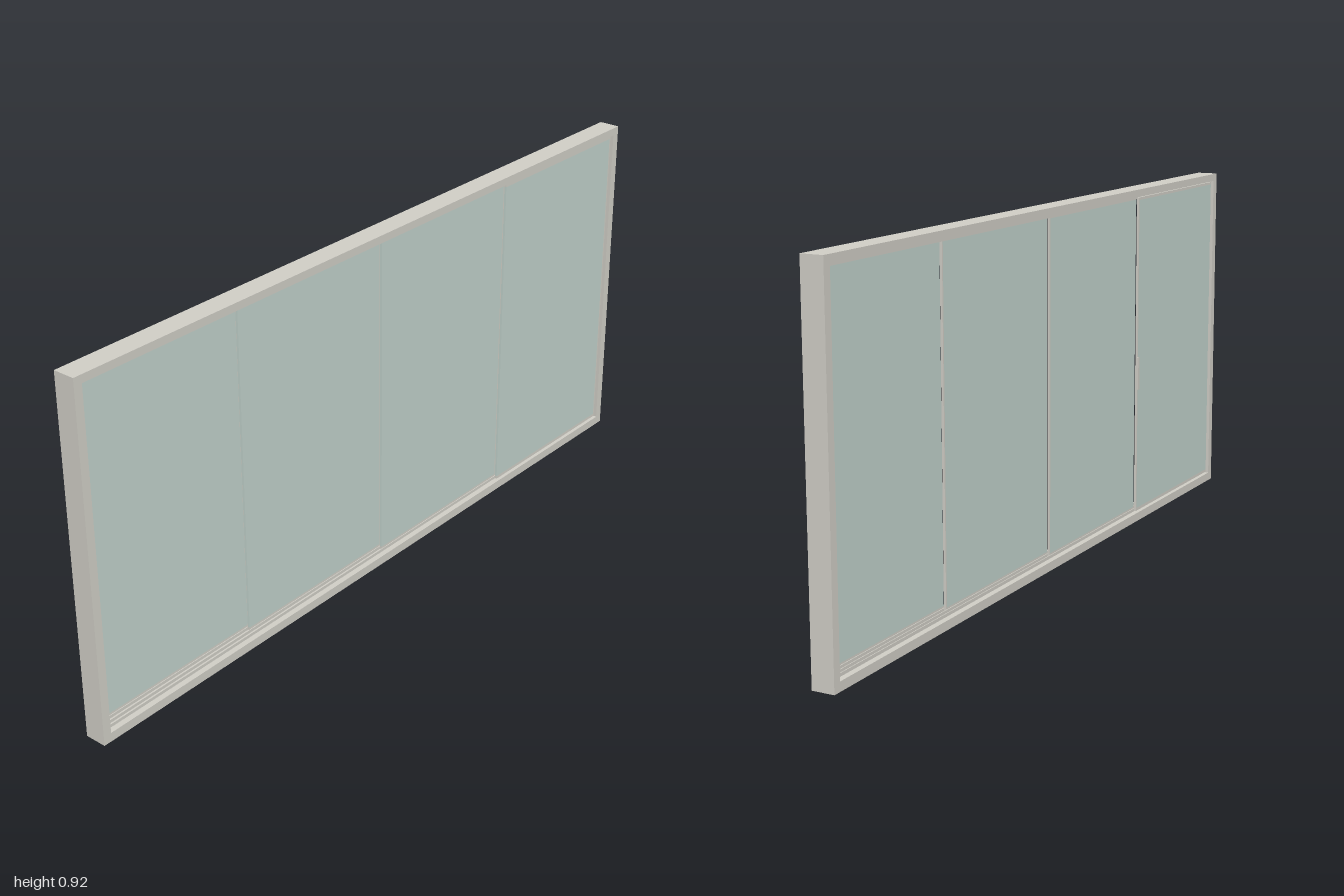
import * as THREE from 'three';

export function createModel() {
  const root = new THREE.Group();
  root.name = 'slidingGlassWall';
  const frameMat = new THREE.MeshStandardMaterial({ color: 0xd0cec6 });
  const glassMat = new THREE.MeshStandardMaterial({ color: 0xc0d1cb });

  const H = 0.917, D = 0.057;
  const inX = 0.978, inBottom = 0.023, inTop = 0.897;

  // box given by its lower and upper corners
  function block(name, mat, x0, x1, y0, y1, z0, z1, parent = root) {
    const m = new THREE.Mesh(new THREE.BoxGeometry(x1 - x0, y1 - y0, z1 - z0), mat);
    m.position.set((x0 + x1) / 2, (y0 + y1) / 2, (z0 + z1) / 2);
    m.name = name;
    parent.add(m);
  }

  // outer frame: one ring with a rectangular opening
  const ring = new THREE.Shape([
    new THREE.Vector2(-1, 0), new THREE.Vector2(1, 0),
    new THREE.Vector2(1, H), new THREE.Vector2(-1, H),
  ]);
  ring.holes.push(new THREE.Path([
    new THREE.Vector2(-inX, inBottom), new THREE.Vector2(-inX, inTop),
    new THREE.Vector2(inX, inTop), new THREE.Vector2(inX, inBottom),
  ]));
  const frameGeo = new THREE.ExtrudeGeometry(ring, { depth: D, bevelEnabled: false });
  frameGeo.translate(0, 0, -D / 2);
  const frame = new THREE.Mesh(frameGeo, frameMat);
  frame.name = 'outerFrame';
  root.add(frame);

  // four panels, each on its own track, stepping forward from right to left
  const step = 0.0125, half = 0.003;
  const edges = [-0.974, -0.491, -0.002, 0.487, 0.974];
  for (let i = 0; i < 4; i++) {
    const panel = new THREE.Group();
    panel.name = 'slidingPanel' + (i + 1);
    root.add(panel);
    const z = (i - 1.5) * step;
    const x0 = edges[i];
    const x1 = edges[i + 1] + (i < 3 ? 0.01 : 0);
    block('glass', glassMat, x0, x1 - 0.004, 0.034, 0.887, z - half, z + half, panel);
    block('bottomRail', frameMat, x0, x1, 0.026, 0.034, z - half, z + half, panel);
    block('topRail', frameMat, x0, x1, 0.887, 0.894, z - half, z + half, panel);
    block('edgeProfile', frameMat, x1 - 0.004, x1, 0.034, 0.887, z - half, z + half, panel);
  }

  // low guide ribs between the tracks, above and below
  for (let i = 0; i < 3; i++) {
    const z = (i - 1) * step;
    block('bottomGuide', frameMat, -inX, inX, inBottom, inBottom + 0.008, z - 0.001, z + 0.001);
    block('topGuide', frameMat, -inX, inX, inTop - 0.008, inTop, z - 0.001, z + 0.001);
  }

  // slim pull on the back of the first panel
  const zBack = -1.5 * step - half;
  block('pullHandle', frameMat, -0.487, -0.479, 0.37, 0.46, zBack - 0.004, zBack);

  return root;
}
